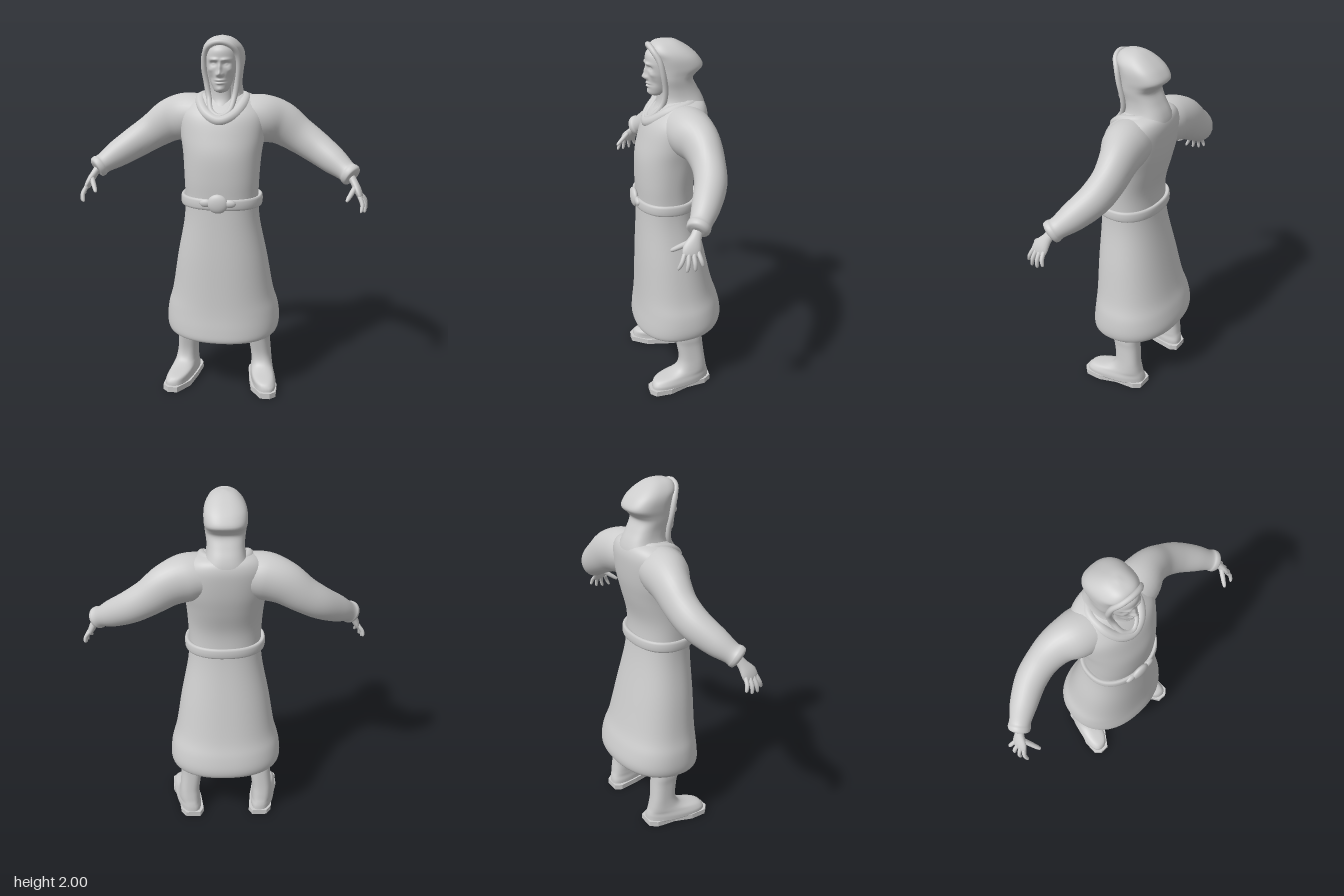
import * as THREE from 'three';

const V = (x, y, z) => new THREE.Vector3(x, y, z);
const material = new THREE.MeshStandardMaterial({ color: 0xcccccc, side: THREE.DoubleSide });

// Smoothly interpolates a short table of cross-sections, column by column
function refine(rows, steps) {
  const out = [];
  const at = i => rows[Math.min(rows.length - 1, Math.max(0, i))];
  for (let i = 0; i < rows.length - 1; i++) {
    for (let k = 0; k < steps; k++) {
      const t = k / steps;
      out.push(rows[i].map((b, c) => {
        const a = at(i - 1)[c], d = at(i + 1)[c], e = at(i + 2)[c];
        return b + 0.5 * t * (d - a + t * (2 * a - 5 * b + 4 * d - e + t * (3 * (b - d) + e - a)));
      }));
    }
  }
  out.push(rows[rows.length - 1]);
  return out;
}

// Skins closed rings of points, with optional end caps
function skin(rings, capStart, capEnd) {
  const n = rings[0].length, pos = [], idx = [];
  rings.forEach(r => r.forEach(p => pos.push(p.x, p.y, p.z)));
  for (let i = 0; i < rings.length - 1; i++) {
    for (let j = 0; j < n; j++) {
      const a = i * n + j, b = i * n + (j + 1) % n;
      idx.push(a, a + n, b, b, a + n, b + n);
    }
  }
  const cap = (row, flip) => {
    const c = V(0, 0, 0);
    rings[row].forEach(p => c.addScaledVector(p, 1 / n));
    const k = pos.length / 3;
    pos.push(c.x, c.y, c.z);
    for (let j = 0; j < n; j++) {
      const a = row * n + j, b = row * n + (j + 1) % n;
      flip ? idx.push(k, a, b) : idx.push(k, b, a);
    }
  };
  if (capStart) cap(0, true);
  if (capEnd) cap(rings.length - 1, false);
  const g = new THREE.BufferGeometry();
  g.setAttribute('position', new THREE.Float32BufferAttribute(pos, 3));
  g.setIndex(idx);
  g.computeVertexNormals();
  return g;
}

// Upright loft: rows are [y, centreX, halfWidth, frontZ, backZ]; p squares the section
function loft(rows, { steps = 5, sides = 48, p = 2.2, caps = [false, true], warp } = {}) {
  const pw = v => Math.sign(v) * Math.abs(v) ** (2 / p);
  const rings = refine(rows, steps).map(([y, cx, rx, f, b]) =>
    Array.from({ length: sides }, (_, j) => {
      const t = j / sides * Math.PI * 2;
      const q = V(cx + rx * pw(Math.cos(t)), y, (f + b) / 2 + (f - b) / 2 * pw(Math.sin(t)));
      if (warp) warp(q);
      return q;
    }));
  return skin(rings, ...caps);
}

// Sweep along a path: rows are [x, y, z, radius along ref, radius across]
function sweep(rows, ref = V(0, 1, 0), steps = 5, sides = 24) {
  const r = refine(rows, steps);
  const rings = r.map(([x, y, z, a, b], i) => {
    const p0 = r[Math.max(0, i - 1)], p1 = r[Math.min(r.length - 1, i + 1)];
    const T = V(p1[0] - p0[0], p1[1] - p0[1], p1[2] - p0[2]).normalize();
    const N = ref.clone().addScaledVector(T, -ref.dot(T)).normalize();
    const B = N.clone().cross(T);
    return Array.from({ length: sides }, (_, j) => {
      const t = j / sides * Math.PI * 2;
      return V(x, y, z).addScaledVector(N, a * Math.cos(t)).addScaledVector(B, b * Math.sin(t));
    });
  });
  return skin(rings, true, true);
}

function mirrored(g) {
  const m = g.clone().scale(-1, 1, 1), a = m.index.array;
  for (let i = 0; i < a.length; i += 3) [a[i], a[i + 1]] = [a[i + 1], a[i]];
  m.computeVertexNormals();
  return m;
}

export function createModel() {
  const model = new THREE.Group();
  const add = (name, g) => {
    const m = new THREE.Mesh(g, material);
    m.name = name;
    model.add(m);
    return m;
  };
  const pair = (name, g) => { add(name + 'Left', g); add(name + 'Right', mirrored(g)); };
  const ringTube = (name, pts, r) =>
    add(name, new THREE.TubeGeometry(new THREE.CatmullRomCurve3(pts, true), 80, r, 12, true));

  // Robe: starts with the hollow lining, turns round the hem, rises to the shoulders
  add('robe', loft([
    [0.85, 0, 0.2, 0.18, -0.11], [0.6, 0, 0.24, 0.19, -0.16], [0.42, 0, 0.27, 0.21, -0.2],
    [0.365, 0, 0.275, 0.215, -0.205], [0.35, 0, 0.298, 0.237, -0.228], [0.37, 0, 0.316, 0.25, -0.248],
    [0.42, 0, 0.322, 0.247, -0.252], [0.5, 0, 0.312, 0.237, -0.235], [0.6, 0, 0.284, 0.231, -0.203],
    [0.8, 0, 0.25, 0.225, -0.157], [1.0, 0, 0.21, 0.216, -0.113], [1.13, 0, 0.2, 0.213, -0.095],
    [1.25, 0, 0.203, 0.218, -0.095], [1.38, 0, 0.212, 0.214, -0.128], [1.48, 0, 0.228, 0.192, -0.15],
    [1.58, 0, 0.235, 0.16, -0.16], [1.64, 0, 0.21, 0.115, -0.158], [1.68, 0, 0.16, 0.07, -0.14],
    [1.7, 0, 0.08, 0.03, -0.1],
  ], { sides: 64, p: 2.25, caps: [true, true],
    warp: q => { q.y -= 0.07 * q.z * Math.max(0, 1 - Math.abs(q.y - 0.36) / 0.25); } }));

  // Belt: closed band profile, with a rounded buckle and keepers
  const belt = [[1.11, 0.198], [1.102, 0.214], [1.115, 0.222], [1.15, 0.222], [1.163, 0.214], [1.155, 0.198]]
    .map(([y, r]) => [y, 0, r, r + 0.01, 0.105 - r]);
  add('belt', loft(belt, { steps: 2, sides: 64, p: 2.25, caps: [false, false] }));
  const buckle = add('buckle', new THREE.SphereGeometry(1, 24, 16));
  buckle.scale.set(0.055, 0.052, 0.022);
  buckle.position.set(0, 1.14, 0.227);
  for (const s of [-1, 1]) {
    const keeper = add('beltKeeper', new THREE.SphereGeometry(1, 16, 12));
    keeper.scale.set(0.035, 0.022, 0.016);
    keeper.position.set(s * 0.062, 1.142, 0.222);
  }

  // Sleeves, ending in a rolled cuff
  pair('sleeve', sweep([
    [0.08, 1.57, -0.01, 0.11, 0.12], [0.2, 1.56, -0.03, 0.128, 0.122], [0.3, 1.532, -0.058, 0.118, 0.098],
    [0.4, 1.468, -0.068, 0.099, 0.084], [0.5, 1.405, -0.05, 0.088, 0.08], [0.6, 1.342, 0.002, 0.074, 0.07],
    [0.665, 1.3, 0.045, 0.056, 0.056], [0.685, 1.287, 0.06, 0.061, 0.059], [0.7, 1.277, 0.07, 0.055, 0.053],
    [0.704, 1.274, 0.073, 0.03, 0.03],
  ], V(0, 1, 0), 5, 32));

  // Hands: flat palm, four curved fingers and a thumb
  const side = V(0, 0, 1);
  pair('palm', sweep([
    [0.685, 1.285, 0.06, 0.026, 0.022], [0.708, 1.25, 0.08, 0.028, 0.02], [0.73, 1.21, 0.102, 0.044, 0.02],
    [0.744, 1.18, 0.113, 0.044, 0.015], [0.748, 1.17, 0.116, 0.034, 0.008],
  ], side, 4, 18));
  const fingers = [
    [[0.742, 1.19, 0.08], [0.775, 1.125, 0.062]], [[0.746, 1.185, 0.102], [0.774, 1.105, 0.1]],
    [[0.744, 1.185, 0.124], [0.768, 1.1, 0.14]], [[0.738, 1.188, 0.142], [0.748, 1.108, 0.178]],
    [[0.715, 1.228, 0.115], [0.672, 1.17, 0.195]],
  ];
  fingers.forEach(([a, b], i) => {
    const thumb = i === 4, r = thumb ? 0.014 : 0.0115;
    const rows = [[0, 1], [0.45, 0.95], [0.8, 0.8], [0.95, 0.55], [1, 0.15]].map(([t, k]) => [
      a[0] + (b[0] - a[0]) * t + (thumb ? 0 : 0.012 * Math.sin(Math.PI * t)),
      a[1] + (b[1] - a[1]) * t, a[2] + (b[2] - a[2]) * t, r * k, r * k]);
    pair(thumb ? 'thumb' : 'finger', sweep(rows, thumb ? V(0, 1, 0) : side, 3, 12));
  });

  // Hood, with its overhanging lump at the back
  add('hood', loft([
    [1.58, 0, 0.16, 0.1, -0.158], [1.65, 0, 0.125, 0.085, -0.155], [1.7, 0, 0.103, 0.075, -0.14],
    [1.75, 0, 0.098, 0.08, -0.112], [1.8, 0, 0.104, 0.09, -0.088], [1.83, 0, 0.107, 0.097, -0.105],
    [1.865, 0, 0.111, 0.104, -0.14], [1.91, 0, 0.11, 0.112, -0.117], [1.945, 0, 0.098, 0.13, -0.08],
    [1.975, 0, 0.073, 0.124, -0.035], [1.992, 0, 0.045, 0.1, 0], [2.0, 0, 0.008, 0.055, 0.035],
  ], { p: 2.6 }));
  const half = [[0.055, 1.955, 0.125], [0.084, 1.91, 0.1], [0.092, 1.84, 0.082], [0.08, 1.75, 0.068],
    [0.067, 1.68, 0.078], [0.046, 1.615, 0.127]];
  const loop = [V(0, 1.972, 0.135), ...half.map(p => V(...p)), V(0, 1.592, 0.15),
    ...half.slice().reverse().map(([x, y, z]) => V(-x, y, z))];
  ringTube('hoodRim', loop, 0.015);

  // Soft cowl fold around the neckline
  ringTube('cowl', [V(0, 1.57, 0.15), V(0.07, 1.597, 0.125), V(0.115, 1.65, 0.055), V(0.11, 1.67, -0.04),
    V(0, 1.665, -0.12), V(-0.11, 1.67, -0.04), V(-0.115, 1.65, 0.055), V(-0.07, 1.597, 0.125)], 0.03);

  // Neck and collar opening
  add('neck', loft([
    [1.57, 0, 0.04, 0.165, 0], [1.62, 0, 0.05, 0.13, 0], [1.68, 0, 0.058, 0.095, -0.02], [1.78, 0, 0.055, 0.1, -0.02],
  ], { sides: 32 }));

  // Face: features are raised and sunk by soft bumps on the front
  const bump = (q, x, y, sx, sy) =>
    Math.exp(-(((Math.abs(q.x) - x) / sx) ** 2) - ((q.y - y) / sy) ** 2);
  add('face', loft([
    [1.712, 0, 0.018, 0.125, 0.06], [1.722, 0, 0.036, 0.138, 0.04], [1.75, 0, 0.052, 0.143, 0],
    [1.79, 0, 0.065, 0.145, 0], [1.84, 0, 0.077, 0.147, 0], [1.89, 0, 0.078, 0.153, 0],
    [1.93, 0, 0.068, 0.15, 0], [1.96, 0, 0.045, 0.125, 0.02],
  ], { steps: 12, sides: 128, p: 2.1, caps: [true, true], warp: q => {
    if (q.z < 0.08) return;
    q.z += 0.022 * bump(q, 0, 1.812, 0.013, 0.016) + 0.015 * bump(q, 0, 1.84, 0.01, 0.026)
      + 0.008 * bump(q, 0.014, 1.808, 0.007, 0.009) + 0.01 * bump(q, 0.03, 1.883, 0.022, 0.009)
      - 0.016 * bump(q, 0.033, 1.862, 0.018, 0.012) + 0.007 * bump(q, 0.034, 1.86, 0.01, 0.006)
      + 0.009 * bump(q, 0, 1.779, 0.022, 0.006) + 0.009 * bump(q, 0, 1.763, 0.018, 0.006)
      - 0.006 * bump(q, 0, 1.771, 0.024, 0.003) + 0.006 * bump(q, 0, 1.732, 0.02, 0.012)
      - 0.008 * bump(q, 0.045, 1.785, 0.016, 0.022) + 0.005 * bump(q, 0.052, 1.83, 0.015, 0.012);
  } }));

  // Legs and boots, splayed outward towards the toes
  const splay = q => { q.x += 0.19 * (q.z + 0.05) * Math.max(0, 1 - Math.max(0, q.y - 0.05) / 0.12); };
  pair('boot', loft([
    [0.025, 0.222, 0.07, 0.205, -0.145], [0.055, 0.222, 0.07, 0.2, -0.143], [0.078, 0.222, 0.066, 0.175, -0.138],
    [0.098, 0.222, 0.063, 0.09, -0.132], [0.125, 0.221, 0.06, 0.045, -0.127], [0.18, 0.217, 0.058, 0.03, -0.118],
    [0.27, 0.207, 0.062, 0.043, -0.108], [0.36, 0.2, 0.068, 0.062, -0.1], [0.6, 0.15, 0.075, 0.1, -0.08],
  ], { sides: 36, p: 2.6, caps: [true, true], warp: splay }));

  // Flat soles with a blunt, angled toe
  const outline = [[-0.045, 0.15], [0.04, 0.15], [0.066, 0.11], [0.066, 0], [0.09, -0.1],
    [0.08, -0.19], [0.045, -0.22], [-0.01, -0.22], [-0.06, -0.13], [-0.07, 0], [-0.07, 0.11]];
  const sole = new THREE.Shape(outline.map(([x, y]) => new THREE.Vector2(x + 0.222 - 0.12 * y, y)));
  const left = new THREE.ExtrudeGeometry(sole, { depth: 0.032, bevelEnabled: false }).rotateX(-Math.PI / 2);
  add('soleLeft', left);
  const flipped = new THREE.Shape(sole.getPoints().map(p => new THREE.Vector2(-p.x, p.y)));
  add('soleRight', new THREE.ExtrudeGeometry(flipped, { depth: 0.032, bevelEnabled: false }).rotateX(-Math.PI / 2));

  return model;
}
